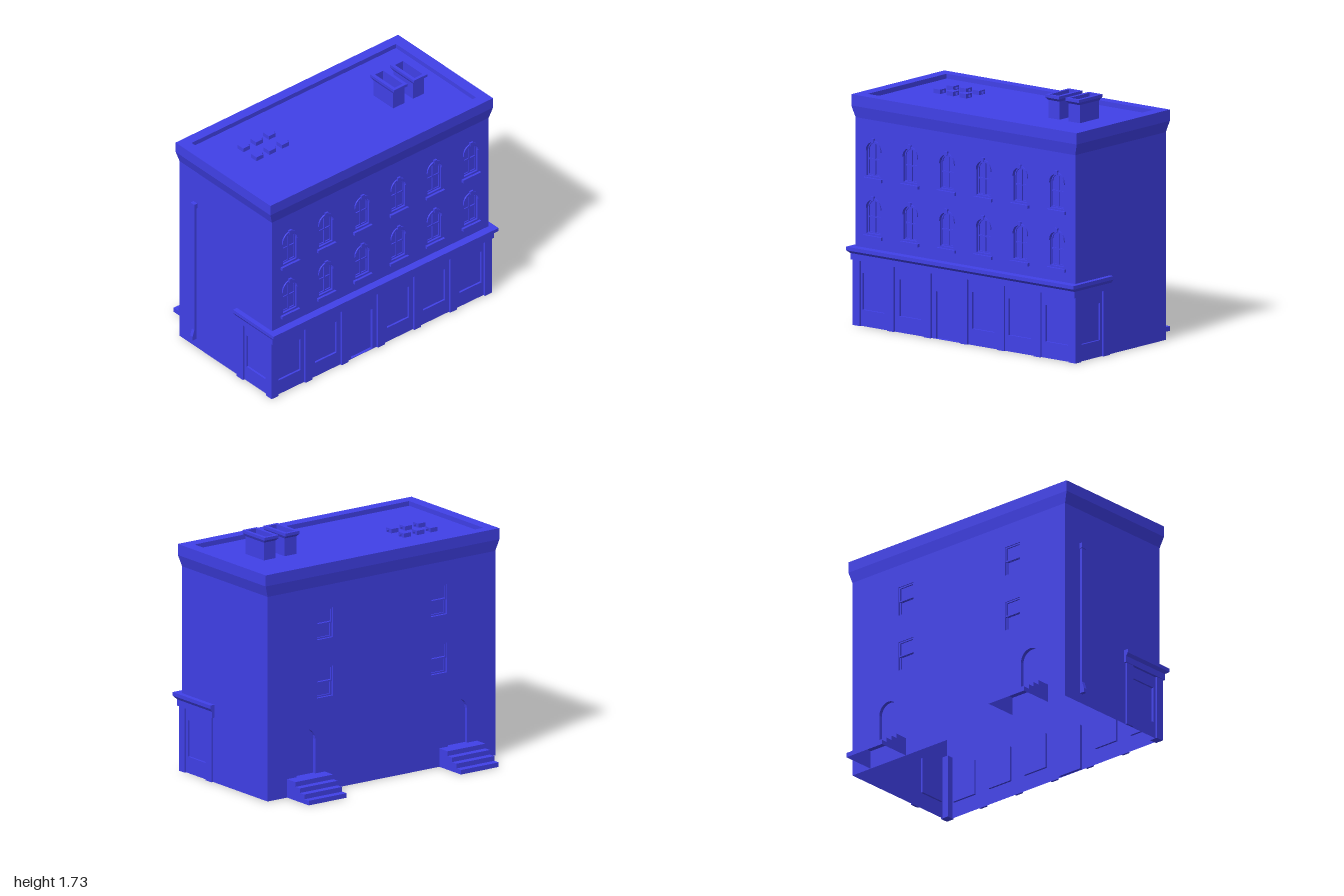
import * as THREE from 'three';

// The building is an open shell, so its surfaces show from both sides
const material = new THREE.MeshStandardMaterial({
  color: 0x4040e8, flatShading: true, side: THREE.DoubleSide,
});
const V = (x, y, z) => new THREE.Vector3(x, y, z);

function add(parent, name, geometry, x = 0, y = 0, z = 0) {
  const mesh = new THREE.Mesh(geometry, material);
  mesh.name = name;
  mesh.position.set(x, y, z);
  parent.add(mesh);
  return mesh;
}

// Box from its bounds
function box(parent, name, x0, x1, y0, y1, z0, z1) {
  return add(parent, name, new THREE.BoxGeometry(x1 - x0, y1 - y0, z1 - z0),
    (x0 + x1) / 2, (y0 + y1) / 2, (z0 + z1) / 2);
}

// Quads joining each section to the next
function loft(sections, closed) {
  const points = [];
  for (let s = 0; s < sections.length - 1; s++) {
    const a = sections[s], b = sections[s + 1], n = a.length;
    for (let i = 0; i < (closed ? n : n - 1); i++) {
      const j = (i + 1) % n;
      points.push(a[i], a[j], b[j], a[i], b[j], b[i]);
    }
  }
  const geometry = new THREE.BufferGeometry().setFromPoints(points);
  geometry.computeVertexNormals();
  return geometry;
}

const ring = (x0, x1, z0, z1, y) => [V(x0, y, z0), V(x0, y, z1), V(x1, y, z1), V(x1, y, z0)];

const toShape = (pts) => new THREE.Shape(pts.map(([x, y]) => new THREE.Vector2(x, y)));
function holed(pts, holes) {
  const shape = toShape(pts);
  shape.holes = holes.map(toShape);
  return shape;
}
const flat = (pts, holes = []) => new THREE.ShapeGeometry(holed(pts, holes));
const extrude = (pts, depth, holes = []) =>
  new THREE.ExtrudeGeometry(holed(pts, holes), { depth, bevelEnabled: false });

const rect = (x0, x1, y0, y1) => [[x0, y0], [x1, y0], [x1, y1], [x0, y1]];

// Half circle from right to left
function arc(cx, cy, r, n = 10) {
  return Array.from({ length: n + 1 }, (_, i) => {
    const t = (Math.PI * i) / n;
    return [cx + r * Math.cos(t), cy + r * Math.sin(t)];
  });
}
const arched = (cx, half, y0, spring) =>
  [[cx - half, y0], [cx + half, y0], ...arc(cx, spring, half)];

// Inward-facing sides of an opening
function jamb(parent, name, pts, zFront, zBack) {
  const at = (z) => pts.map(([x, y]) => V(x, y, z));
  add(parent, name, loft([at(zFront), at(zBack)], true));
}

function recess(parent, name, pts, depth, zFront = 0) {
  jamb(parent, name + 'Reveal', pts, zFront, zFront - depth);
  add(parent, name, flat(pts), 0, 0, zFront - depth);
}

// A wall in its own plane, facing local +z
function wall(parent, name, x0, x1, holes, angle, x, z) {
  const group = new THREE.Group();
  group.name = name;
  group.rotation.y = angle;
  group.position.set(x, 0, z);
  add(group, name + 'Surface', flat(rect(x0, x1, 0, 1.44), holes));
  parent.add(group);
  return group;
}

// Arched window opening above a sill whose top is at y
const windowOpening = (cx, y) => arched(cx, 0.06, y + 0.013, y + 0.19);

function frontWindow(w, cx, y) {
  const spring = y + 0.19;
  const outer = windowOpening(cx, y);
  const inner = arched(cx, 0.052, y + 0.021, spring);
  jamb(w, 'windowReveal', outer, 0, -0.015);
  add(w, 'windowFrame', flat(outer, [inner]), 0, 0, -0.015);
  recess(w, 'windowPane', inner, 0.008, -0.015);
  box(w, 'mullion', cx - 0.005, cx + 0.005, y + 0.021, y + 0.241, -0.023, -0.015);
  box(w, 'transom', cx - 0.052, cx + 0.052, y + 0.122, y + 0.132, -0.023, -0.0155);
  box(w, 'windowSill', cx - 0.08, cx + 0.08, y - 0.022, y, 0, 0.018);
  // Arched hood with feet and keystone
  const hood = [[cx + 0.069, y + 0.185], ...arc(cx, spring + 0.005, 0.069),
    [cx - 0.069, y + 0.185], [cx - 0.06, y + 0.185],
    ...arc(cx, spring, 0.06).reverse(), [cx + 0.06, y + 0.185]];
  add(w, 'windowHood', extrude(hood, 0.01));
  box(w, 'keystone', cx - 0.013, cx + 0.013, y + 0.248, y + 0.276, 0, 0.014);
}

function sashWindow(w, cx, y) {
  const h = 0.068;
  recess(w, 'backWindow', rect(cx - h, cx + h, y, y + 0.21), 0.03);
  [[y + 0.1, y + 0.21, -0.017], [y, y + 0.11, -0.028]].forEach(([a, b, z]) =>
    add(w, 'sash', extrude(rect(cx - h, cx + h, a, b), 0.01,
      [rect(cx - h + 0.01, cx + h - 0.01, a + 0.01, b - 0.01)]), 0, 0, z));
}

export function createModel() {
  const model = new THREE.Group();
  model.name = 'building';
  const X = 0.965, ZF = 0.575, ZB = -0.39;

  // Front wall: shop windows, door and two rows of arched windows
  const shopHoles = [[-0.905, -0.71], [-0.58, -0.39], [0.06, 0.255], [0.38, 0.575], [0.705, 0.9]]
    .map(([a, b]) => rect(a, b, 0.113, 0.368));
  const shopDoor = rect(-0.26, -0.07, 0.003, 0.33);
  const columns = Array.from({ length: 6 }, (_, i) => -0.807 + i * 0.3222);
  const rows = [0.638, 1.038];
  const archHoles = rows.flatMap((y) => columns.map((x) => windowOpening(x, y)));
  const front = wall(model, 'frontWall', -X, X, [...shopHoles, shopDoor, ...archHoles], 0, 0, ZF);
  shopHoles.forEach((h) => recess(front, 'shopWindow', h, 0.015));
  recess(front, 'shopDoor', shopDoor, 0.02);
  rows.forEach((y) => columns.forEach((x) => frontWindow(front, x, y)));

  // Back wall: arched doors and sash windows
  const doors = [-0.64, 0.645].map((x) => arched(x, 0.08, 0.13, 0.372));
  const sashes = [-0.48, 0.487].flatMap((x) => [0.655, 1.065].map((y) => [x, y]));
  const back = wall(model, 'backWall', -X, X,
    [...doors, ...sashes.map(([x, y]) => rect(x - 0.068, x + 0.068, y, y + 0.21))], Math.PI, 0, ZB);
  doors.forEach((d) => recess(back, 'backDoor', d, 0.025));
  sashes.forEach(([x, y]) => sashWindow(back, x, y));

  // Side walls with the returning shop window
  for (const s of [-1, 1]) {
    const across = (a, b) => (s > 0 ? [-b, -a] : [a, b]);
    const hole = rect(...across(0.31, 0.51), 0.115, 0.372);
    const side = wall(model, s > 0 ? 'leftWall' : 'rightWall', ...across(ZB, ZF), [hole],
      (s * Math.PI) / 2, s * X, 0);
    recess(side, 'sideShopWindow', hole, 0.015);
    box(side, 'sidePilaster', ...across(0.225, 0.29), 0, 0.456, 0, 0.015);
    const corner = s > 0 ? [0.918, 0.98] : [-0.98, -0.918];
    box(model, 'cornerPilaster', ...corner, 0, 0.456, 0.53, 0.59);
  }
  for (const x of [-0.648, -0.325, -0.003, 0.32, 0.64])
    box(model, 'pilaster', x - 0.03, x + 0.03, 0, 0.456, ZF, 0.59);

  // Shop cornice around three sides: side offset, front offset, height
  const profile = [[0, 0, 0.456], [0.02, 0.03, 0.456], [0.02, 0.03, 0.5],
    [0.035, 0.06, 0.522], [0.035, 0.06, 0.547], [0, 0, 0.547]];
  add(model, 'shopCornice',
    loft(profile.map(([dx, dz, y]) => ring(-X - dx, X + dx, 0.21, ZF + dz, y)), false));
  for (const s of [-1, 1]) {
    const end = add(model, 'shopCorniceEnd',
      flat(profile.map(([dx, , y]) => [s * (X + dx), y])), 0, 0, 0.21);
    end.rotation.y = Math.PI;
  }

  // Flared roof cornice, parapet and sunken roof
  const roofY = 1.565;
  add(model, 'roof', loft([
    ring(-X, X, ZB, ZF, 1.44), ring(-0.99, 0.99, -0.402, 0.59, 1.52),
    ring(-0.99, 0.99, -0.402, 0.59, 1.598), ring(-0.91, 0.908, -0.328, 0.51, 1.598),
    ring(-0.91, 0.908, -0.328, 0.51, roofY), ring(-0.91, 0.908, 0.09, 0.09, roofY)], true));

  // Hollow chimneys with flared caps
  for (const x of [0.476, 0.653]) {
    const r = (dx, dz, y) => ring(x - dx, x + dx, 0.105 - dz, 0.105 + dz, y);
    add(model, 'chimney', loft([r(0.05, 0.103, roofY), r(0.05, 0.103, 1.69),
      r(0.06, 0.125, 1.71), r(0.06, 0.125, 1.73), r(0.036, 0.102, 1.73),
      r(0.036, 0.102, 1.6), r(0.036, 0, 1.6)], true));
  }

  // Roof vents
  for (const x of [-0.655, -0.541, -0.427])
    for (const z of [-0.083, 0.056]) {
      box(model, 'roofVent', x - 0.03, x + 0.03, roofY, 1.595, z - 0.03, z + 0.03);
      box(model, 'ventOutlet', x + 0.03, x + 0.048, 1.572, 1.586, z - 0.004, z + 0.004);
    }

  // Back steps: z, y from the wall down to the ground
  const steps = [[-0.39, 0.13], [-0.485, 0.13], [-0.485, 0.097], [-0.535, 0.097],
    [-0.535, 0.065], [-0.585, 0.065], [-0.585, 0.032], [-0.635, 0.032], [-0.635, 0]];
  for (const x of [-0.65, 0.64]) {
    const edge = (px) => steps.map(([z, y]) => V(px, y, z));
    add(model, 'steps', loft([edge(x + 0.16), edge(x - 0.16)], false));
    for (const s of [-1, 1]) {
      const cheek = add(model, 'stepSide',
        flat([...steps, [-0.39, 0]].map(([z, y]) => [-s * z, y])), x + s * 0.16);
      cheek.rotation.y = (s * Math.PI) / 2;
    }
  }

  // Drainpipe with kicked-out foot and hopper head
  add(model, 'drainpipe', extrude([[-0.965, 0.07], [-1, 0.07], [-1, 0.1], [-0.985, 0.15],
    [-0.985, 1.16], [-0.965, 1.16]], 0.026), 0, 0, -0.238);
  box(model, 'drainHead', -0.992, -0.965, 1.15, 1.188, -0.245, -0.205);

  return model;
}
